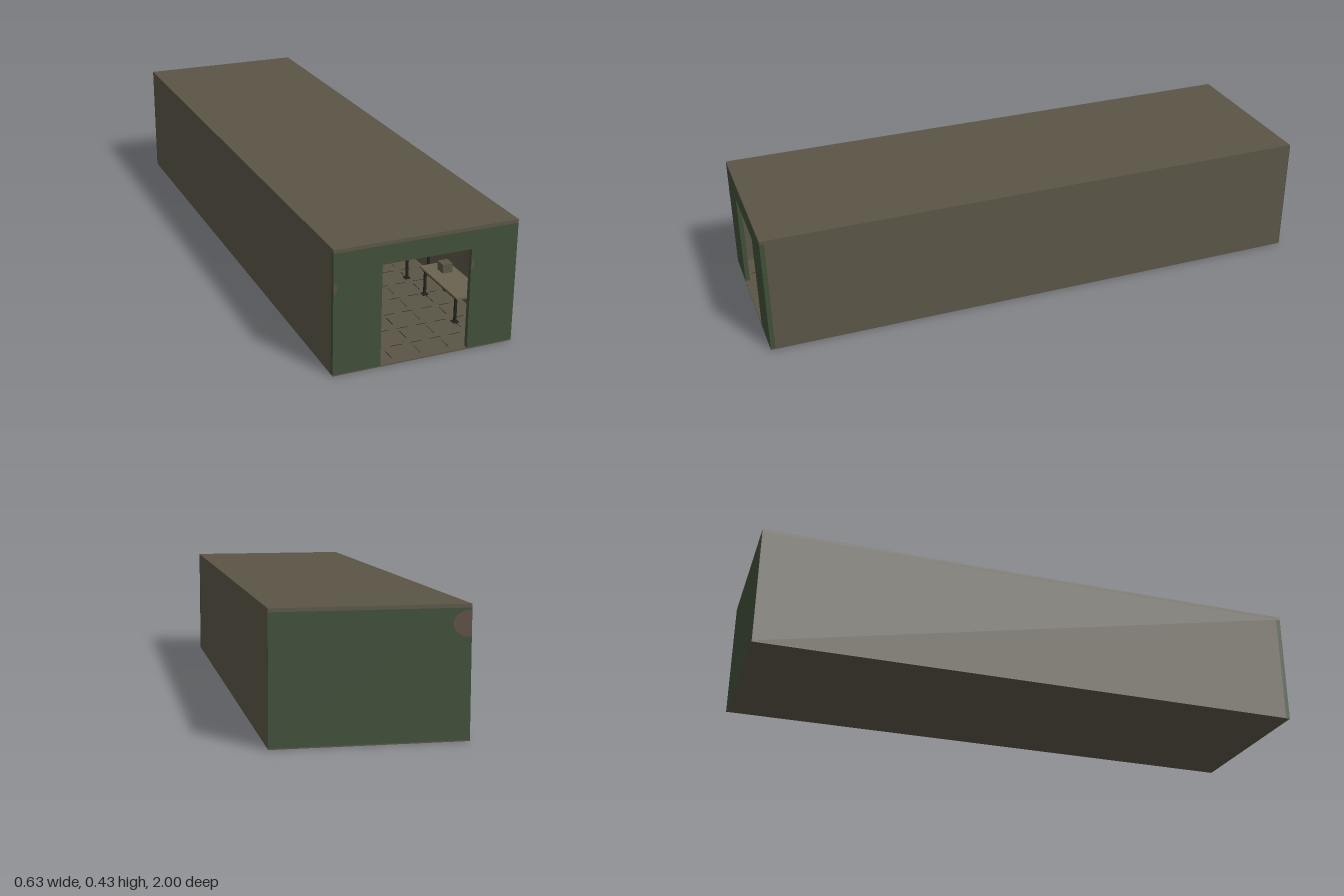
import * as THREE from 'three';

const mat = (name, color) => {
  const m = new THREE.MeshStandardMaterial({ color });
  m.name = name;
  return m;
};

export function createModel() {
  const concrete = mat('concrete', 0x5b5547);
  const green = mat('greenPaint', 0x3f4f38);
  const rust = mat('bareRust', 0x5c4f43);
  const dark = mat('darkMetal', 0x24231e);
  const wood = mat('tableTop', 0x6a6350);

  const W = 0.313, H = 0.425, T = 0.012, F = 0.004;
  const DOOR = 0.152, DOOR_H = 0.35, WALL = 0.016;
  const group = new THREE.Group();
  group.name = 'bunker';

  // Box given by its minimum and maximum corners
  const box = (parent, name, m, x0, x1, y0, y1, z0, z1) => {
    const mesh = new THREE.Mesh(new THREE.BoxGeometry(x1 - x0, y1 - y0, z1 - z0), m);
    mesh.position.set((x0 + x1) / 2, (y0 + y1) / 2, (z0 + z1) / 2);
    mesh.name = name;
    parent.add(mesh);
    return mesh;
  };

  // Shell: floor, roof, long side walls and back wall
  box(group, 'floor', concrete, -W, W, 0, F, -1, 1);
  box(group, 'roof', concrete, -W, W, H - T, H, -1, 1);
  for (const s of [-1, 1]) {
    const a = s * W, b = s * (W - T);
    box(group, 'sideWall', concrete, Math.min(a, b), Math.max(a, b), F, H - T, -0.998, 1 - WALL);
  }
  box(group, 'backWall', green, -W + T, W - T, F, H - T, -0.999, -0.985);
  box(group, 'backWallFace', green, -W, W, F, H - T, -1, -0.998);

  // Front wall with an open doorway
  const wall = new THREE.Shape();
  [[-W, F], [-DOOR, F], [-DOOR, DOOR_H], [DOOR, DOOR_H], [DOOR, F], [W, F], [W, H - T], [-W, H - T]]
    .forEach(([x, y], i) => (i ? wall.lineTo(x, y) : wall.moveTo(x, y)));
  const front = new THREE.Mesh(
    new THREE.ExtrudeGeometry(wall, { depth: WALL, bevelEnabled: false }), green);
  front.position.z = 1 - WALL;
  front.name = 'frontWall';
  group.add(front);

  // Worn half-round patches where the paint has come off
  const patch = (name, x, y, rx, ry, z, back) => {
    const geo = new THREE.CircleGeometry(1, 8, back ? Math.PI / 2 : -Math.PI / 2, Math.PI);
    const mesh = new THREE.Mesh(geo, rust);
    mesh.scale.set(rx, ry, 1);
    mesh.position.set(x, y, z);
    if (back) mesh.rotation.y = Math.PI;
    mesh.name = name;
    group.add(mesh);
  };
  patch('frontPatch', -W, 0.297, 0.012, 0.021, 1.0006, false);
  patch('doorPatch', DOOR, 0.297, 0.012, 0.021, 1.0006, false);
  patch('backPatch', -W, 0.365, 0.06, 0.042, -1.0006, true);

  // Floor joints: dashed lines across and along the hall
  const joints = new THREE.Group();
  joints.name = 'floorJoints';
  group.add(joints);
  for (let z = -0.9; z < 0.95; z += 0.1) {
    for (let x = -0.28; x < 0.26; x += 0.07) {
      box(joints, 'crossJoint', dark, x, x + 0.04, F, F + 0.0006, z, z + 0.002);
    }
    for (const x of [-0.2, -0.1, 0, 0.1, 0.2]) {
      box(joints, 'longJoint', dark, x, x + 0.002, F, F + 0.0006, z + 0.02, z + 0.07);
    }
  }

  // Work table against a side wall, with a crate and a wall board
  const table = (side, z) => {
    const g = new THREE.Group();
    g.name = 'workTable';
    g.position.z = z;
    const part = (name, m, x0, x1, y0, y1, z0, z1) =>
      side < 0 ? box(g, name, m, -x1, -x0, y0, y1, z0, z1) : box(g, name, m, x0, x1, y0, y1, z0, z1);
    part('tableTop', wood, 0.19, 0.298, 0.097, 0.104, -0.135, 0.135);
    part('apron', dark, 0.196, 0.2, 0.089, 0.097, -0.125, 0.125);
    for (const dz of [-0.11, 0.11]) {
      for (const x of [0.2, 0.285]) {
        part('tableLeg', dark, x - 0.004, x + 0.004, F, 0.097, dz - 0.004, dz + 0.004);
        part('tableFoot', dark, x - 0.01, x + 0.01, F, F + 0.004, dz - 0.01, dz + 0.01);
      }
    }
    part('crate', concrete, 0.235, 0.272, 0.104, 0.136, -0.09, -0.05);
    part('wallBoard', rust, 0.295, 0.301, 0.15, 0.23, -0.02, 0.06);
    part('wallShelf', dark, 0.27, 0.301, 0.24, 0.246, -0.12, 0.12);
    group.add(g);
  };
  for (const side of [-1, 1]) {
    for (const z of [0.72, 0.36, 0, -0.36, -0.72]) table(side, z);
  }

  return group;
}
